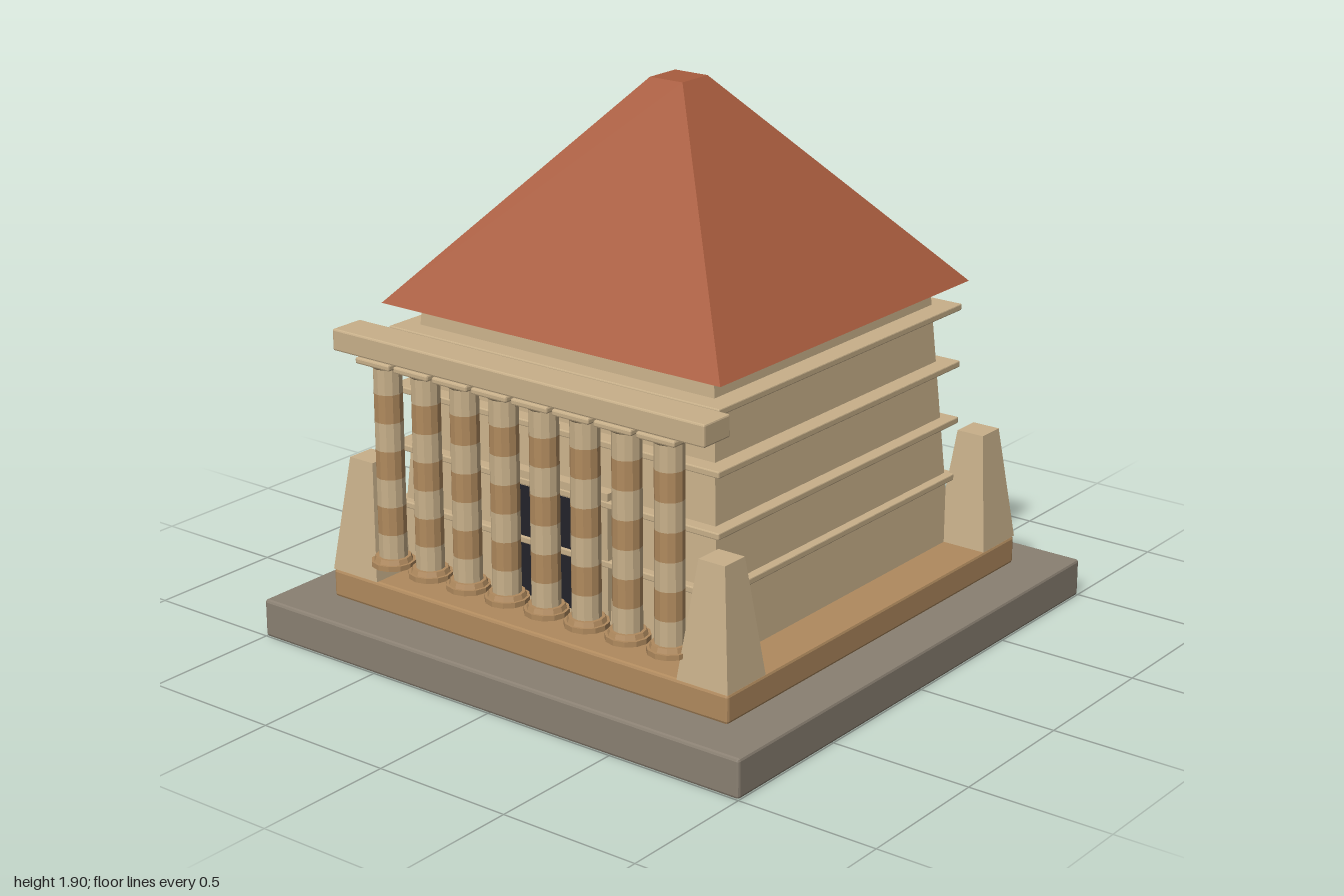
import * as THREE from 'three';
import { RoundedBoxGeometry } from 'three/addons/geometries/RoundedBoxGeometry.js';

const mat = (name, color) => {
  const m = new THREE.MeshStandardMaterial({ color });
  m.name = name;
  return m;
};

// Faceted normals for low-poly parts
function facet(geo) {
  const g = geo.index ? geo.toNonIndexed() : geo;
  g.computeVertexNormals();
  return g;
}

// Chamfered block given by its limits in y
const block = (w, y0, y1, d, bevel) =>
  facet(new RoundedBoxGeometry(w, y1 - y0, d, 1, bevel)).translate(0, (y0 + y1) / 2, 0);

const box = (w, y0, y1, d) => new THREE.BoxGeometry(w, y1 - y0, d).translate(0, (y0 + y1) / 2, 0);

// Square block tapering from half-width a at y0 to half-width b at y1
function taper(a, b, y0, y1) {
  const g = new THREE.BoxGeometry(2, 1, 2);
  const p = g.attributes.position;
  for (let i = 0; i < p.count; i++) {
    const top = p.getY(i) > 0;
    const s = top ? b : a;
    p.setXYZ(i, p.getX(i) * s, top ? y1 : y0, p.getZ(i) * s);
  }
  return facet(g);
}

export function createModel() {
  const model = new THREE.Group();
  model.name = 'temple';
  const grey = mat('grey stone', 0x8a8072);
  const tan = mat('tan stone', 0xb08a5e);
  const sand = mat('pale sandstone', 0xc8b08a);
  const clay = mat('terracotta', 0xa85c3e);
  const dark = mat('dark doorway', 0x23232a);

  const add = (parent, name, geo, material, x = 0, y = 0, z = 0) => {
    const mesh = new THREE.Mesh(geo, material);
    mesh.name = name;
    mesh.position.set(x, y, z);
    parent.add(mesh);
    return mesh;
  };

  // Stepped foundation
  add(model, 'foundation', block(2, 0, 0.135, 2, 0.01), grey);
  add(model, 'plinth', block(1.664, 0.135, 0.235, 1.664, 0.01), tan);

  // Sloping walls, string courses and roof
  add(model, 'walls', taper(0.67, 0.603, 0.23, 1.175), sand);
  for (let i = 0; i < 4; i++) {
    add(model, 'stringCourse', block(1.366, 0.458 + i * 0.203, 0.481 + i * 0.203, 1.366, 0.004), sand);
  }
  add(model, 'roof', taper(0.698, 0.067, 1.17, 1.905), clay);

  // Corner pylons
  const pylon = taper(0.099, 0.051, 0.235, 0.635);
  for (const sx of [-1, 1]) {
    for (const sz of [-1, 1]) add(model, 'cornerPylon', pylon, sand, sx * 0.733, 0, sz * 0.733);
  }

  // Doorway: jambs, head and dark leaf
  const door = new THREE.Group();
  door.name = 'doorway';
  model.add(door);
  for (const s of [-1, 1]) add(door, 'doorJamb', box(0.075, 0.27, 0.71, 0.06), sand, s * 0.2025, 0, 0.65);
  add(door, 'doorHead', box(0.33, 0.66, 0.71, 0.06), sand, 0, 0, 0.65);
  add(door, 'doorLeaf', box(0.33, 0.275, 0.66, 0.06), dark, 0, 0, 0.644);

  // Colonnade of eight banded columns
  const y0 = 0.325, step = (1.012 - 0.325) / 7;
  const drum = facet(new THREE.CylinderGeometry(0.049, 0.049, step, 12));
  const foot = facet(new THREE.CylinderGeometry(0.075, 0.075, 0.018, 12));
  const torus = facet(new THREE.CylinderGeometry(0.06, 0.066, 0.016, 12));
  const capital = block(0.148, 1.014, 1.036, 0.148, 0.006);
  const neck = facet(new THREE.CylinderGeometry(0.064, 0.052, 0.014, 12));
  for (let c = 0; c < 8; c++) {
    const column = new THREE.Group();
    column.name = 'column';
    column.position.set((c - 3.5) * 0.1667, 0, 0.8);
    model.add(column);
    add(column, 'columnFoot', foot, tan, 0, 0.314);
    add(column, 'columnCollar', torus, tan, 0, 0.331);
    for (let i = 0; i < 7; i++) {
      add(column, 'columnDrum', drum, i % 2 ? tan : sand, 0, y0 + (i + 0.5) * step);
    }
    add(column, 'columnNeck', neck, sand, 0, 1.009);
    add(column, 'columnCapital', capital, sand);
  }
  add(model, 'entablature', block(1.53, 1.035, 1.11, 0.13, 0.006), sand, 0, 0, 0.8);

  return model;
}
